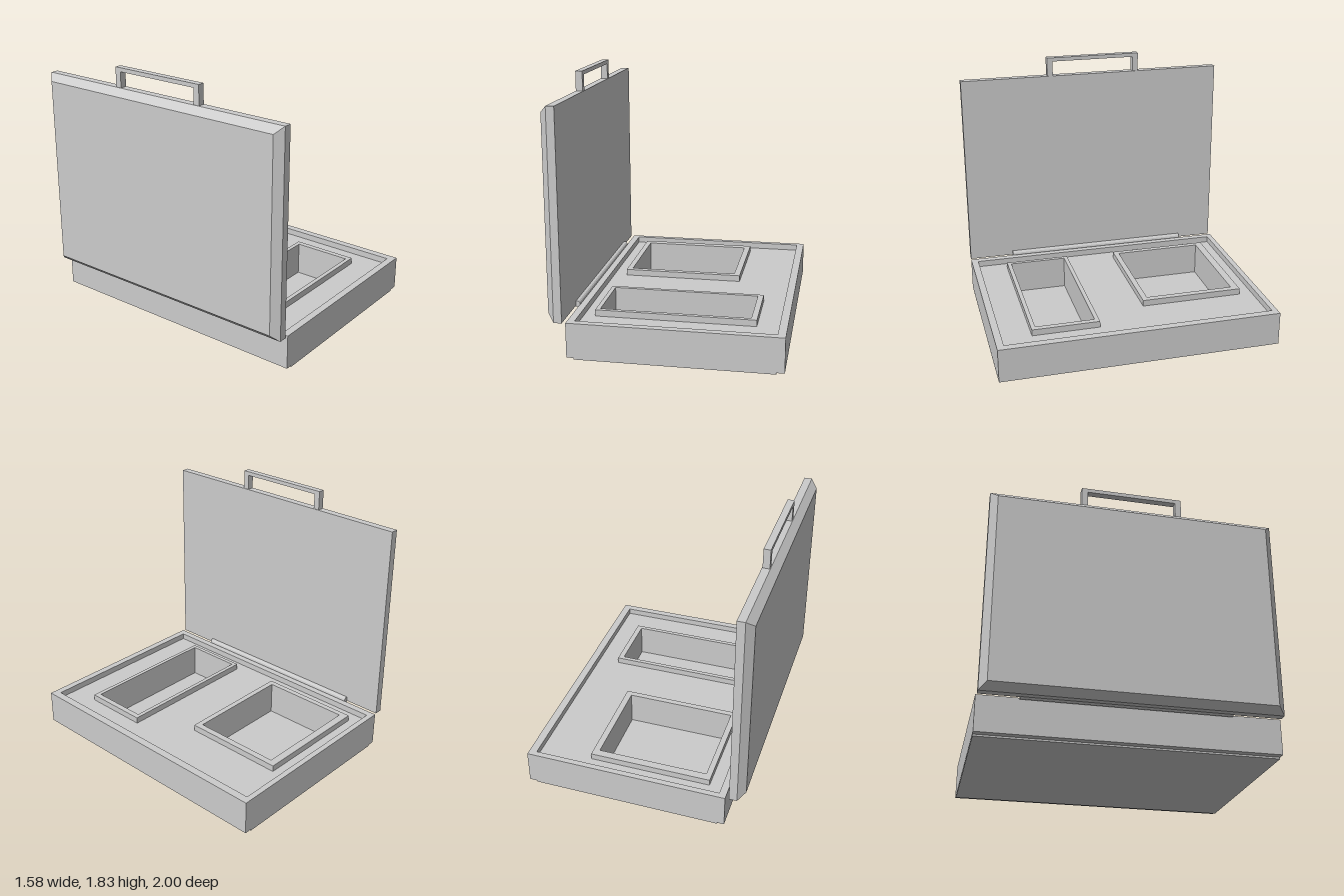
import * as THREE from 'three';

const material = new THREE.MeshStandardMaterial({ color: 0xcccccc, flatShading: true });

function add(parent, name, geometry) {
  const mesh = new THREE.Mesh(geometry, material);
  mesh.name = name;
  parent.add(mesh);
  return mesh;
}

// Rectangle given as [x0, x1, z0, z1]
function trace(path, [a, b, c, d]) {
  path.moveTo(a, c);
  path.lineTo(b, c);
  path.lineTo(b, d);
  path.lineTo(a, d);
  path.closePath();
  return path;
}

// Horizontal slab from y0 to y1 with rectangular openings
function slab(rect, y0, y1, openings = []) {
  const shape = trace(new THREE.Shape(), rect);
  for (const o of openings) shape.holes.push(trace(new THREE.Path(), o));
  const geometry = new THREE.ExtrudeGeometry(shape, { depth: y1 - y0, bevelEnabled: false });
  return geometry.rotateX(Math.PI / 2).translate(0, y1, 0);
}

export function createModel() {
  const model = new THREE.Group();
  model.name = 'openCase';

  const inside = [-0.61, 0.73, -0.96, 0.95];
  const pockets = [
    { name: 'largePocketRim', outer: [-0.515, 0.355, -0.865, -0.12], inner: [-0.475, 0.31, -0.81, -0.16] },
    { name: 'longPocketRim', outer: [-0.53, 0.575, 0.255, 0.735], inner: [-0.5, 0.535, 0.285, 0.705] },
  ];

  // Base: bottom plate, outer walls, recessed tray and raised pocket rims
  const base = new THREE.Group();
  base.name = 'base';
  model.add(base);
  add(base, 'bottomPlate', slab([-0.61, 0.73, -0.998, 0.998], 0, 0.012));
  add(base, 'walls', slab([-0.66, 0.785, -1, 1], 0.012, 0.255, [inside]));
  add(base, 'tray', slab(inside, 0.012, 0.21, pockets.map((p) => p.inner)));
  for (const p of pockets) add(base, p.name, slab(p.outer, 0.21, 0.255, [p.inner]));

  // Lid: flat panel whose outer face is drawn in to form a bevelled back
  const lid = new THREE.Group();
  lid.name = 'lid';
  model.add(lid);
  add(lid, 'lidPanel', new THREE.BoxGeometry(0.055, 1.44, 1.99).translate(-0.7125, 0.97, 0.003));
  const back = new THREE.BoxGeometry(0.05, 1.44, 1.99);
  const pos = back.attributes.position;
  for (let i = 0; i < pos.count; i++) {
    if (pos.getX(i) > 0) continue;
    pos.setY(i, pos.getY(i) - Math.sign(pos.getY(i)) * 0.048);
    pos.setZ(i, pos.getZ(i) - Math.sign(pos.getZ(i)) * 0.05);
  }
  back.computeVertexNormals();
  add(lid, 'bevelledBack', back.translate(-0.765, 0.97, 0.003));

  // Handle: a square arch on the top edge
  const arch = new THREE.Shape();
  [[-0.355, 0], [-0.355, 0.138], [0.355, 0.138], [0.355, 0], [0.312, 0], [0.312, 0.11], [-0.312, 0.11], [-0.312, 0]]
    .forEach(([z, y], i) => (i ? arch.lineTo(z, y) : arch.moveTo(z, y)));
  const handle = new THREE.ExtrudeGeometry(arch, { depth: 0.048, bevelEnabled: false });
  add(lid, 'handle', handle.rotateY(-Math.PI / 2).translate(-0.689, 1.69, -0.01));

  // Hinge rod between lid and base
  add(model, 'hinge', new THREE.CylinderGeometry(0.022, 0.022, 1.39, 12)
    .rotateX(Math.PI / 2).translate(-0.677, 0.262, -0.03));

  return model;
}
